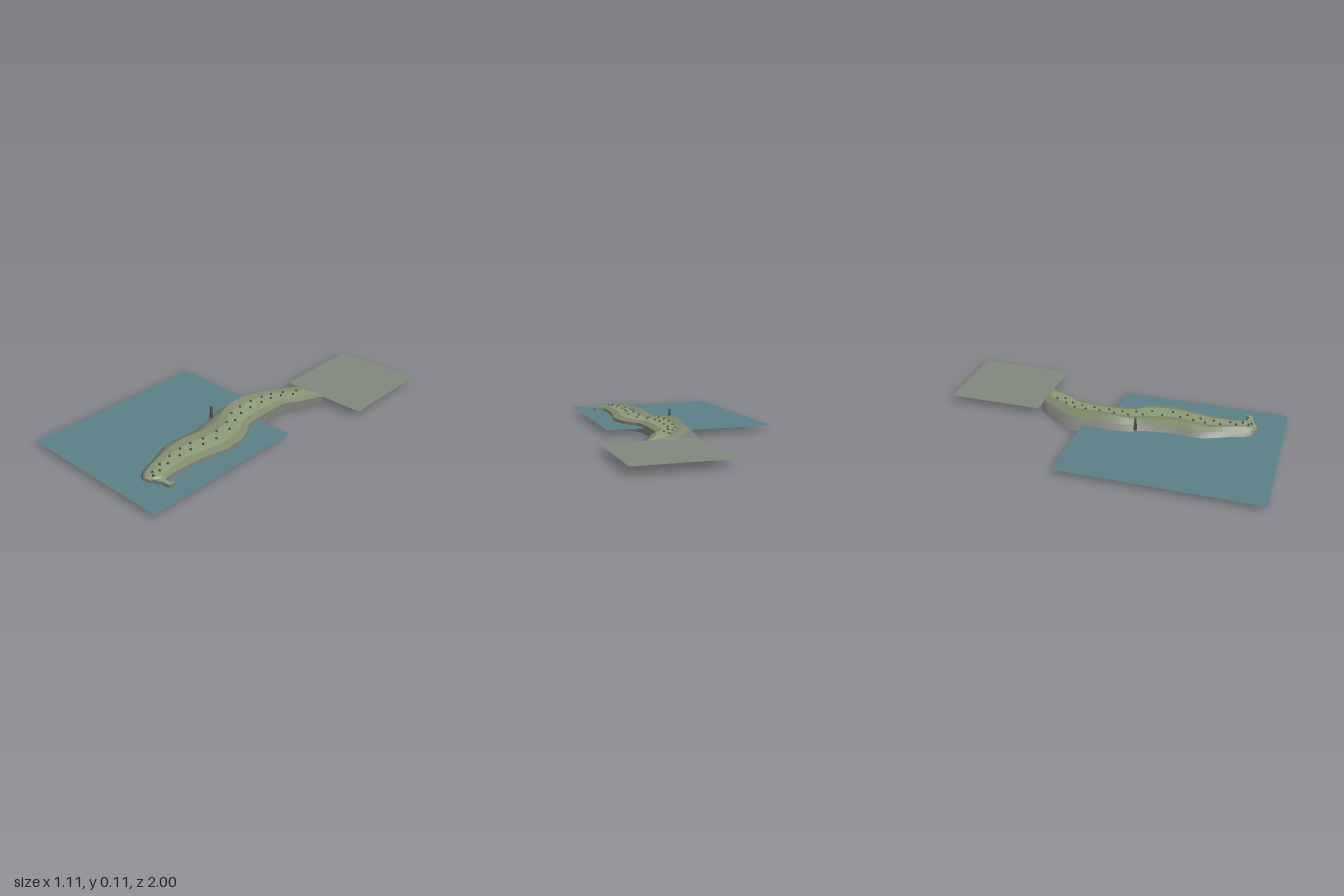
import * as THREE from 'three';

const mat = (name, color) => {
  const m = new THREE.MeshStandardMaterial({ color, side: THREE.DoubleSide });
  m.name = name;
  return m;
};

// Island stations, north to south: left shore x, z, right shore x, z, ridge height
const STATIONS = [
  [0.27, -0.44, 0.298, -0.425, 0.045], [0.11, -0.43, 0.275, -0.39, 0.057],
  [0.03, -0.33, 0.235, -0.29, 0.07], [-0.03, -0.23, 0.187, -0.215, 0.072],
  [-0.052, -0.13, 0.18, -0.12, 0.085], [-0.065, 0, 0.18, 0, 0.094],
  [-0.06, 0.12, 0.19, 0.1, 0.084], [-0.02, 0.24, 0.25, 0.2, 0.068],
  [0, 0.4, 0.275, 0.36, 0.078], [-0.01, 0.5, 0.25, 0.48, 0.08],
  [-0.003, 0.57, 0.235, 0.6, 0.072], [0.05, 0.7, 0.232, 0.72, 0.075],
  [0.1, 0.82, 0.235, 0.785, 0.07], [0.15, 0.855, 0.2, 0.84, 0.052],
];
const curve = (pick) => new THREE.CatmullRomCurve3(STATIONS.map(pick), false, 'centripetal');
const N = STATIONS.length - 1;

export function createModel() {
  const group = new THREE.Group();
  group.name = 'coastalIsland';
  const grass = mat('pale green grass', 0x8c9a78);
  const slope = mat('green slope', 0x7e8a6a);
  const rock = mat('grey rock', 0x7c7d76);
  const water = mat('sea blue', 0x5a8087);
  const field = mat('grey green ground', 0x82877c);
  const dark = mat('dark shrub', 0x3f4a3c);
  const stone = mat('dark stone', 0x4b4d49);

  const add = (name, geo, material, x = 0, y = 0, z = 0) => {
    const m = new THREE.Mesh(geo, material);
    m.name = name;
    m.position.set(x, y, z);
    group.add(m);
    return m;
  };

  const leftShore = curve(s => new THREE.Vector3(s[0], s[4], s[1]));
  const rightShore = curve(s => new THREE.Vector3(s[2], 0, s[3]));

  // Cross-section of the island at t: seven points from left foot to right foot
  const section = (t) => {
    const l = leftShore.getPoint(t), r = rightShore.getPoint(t), h = l.y;
    const at = (f, y) => new THREE.Vector3(l.x + (r.x - l.x) * f, y, l.z + (r.z - l.z) * f);
    const foot = at(0, 0);
    foot.x -= 0.045 * Math.sin(Math.PI * t);
    const shoulder = Math.min(0.056, h);
    const rim = Math.min(0.05, h);
    return [foot, at(0, 0.034), at(0.14, shoulder), at(0.28, h),
      at(0.46, Math.min(h, 0.055 + (h - 0.055) * 0.6)),
      at(0.84, Math.min(0.062, h)), at(1, rim), at(1.02, 0)];
  };
  const ROWS = 52;
  const sections = Array.from({ length: ROWS + 1 }, (_, i) => section(i / ROWS));

  // Lengthwise strip of terrain between two columns of the cross-sections
  const strip = (name, from, to, material) => {
    const pos = [], idx = [], w = to - from + 1;
    for (const s of sections) for (let j = from; j <= to; j++) pos.push(...s[j].toArray());
    for (let i = 0; i < ROWS; i++) for (let j = 0; j < w - 1; j++) {
      const a = i * w + j, b = a + w;
      idx.push(a, b, a + 1, b, b + 1, a + 1);
    }
    const g = new THREE.BufferGeometry();
    g.setAttribute('position', new THREE.Float32BufferAttribute(pos, 3));
    g.setIndex(idx);
    g.computeVertexNormals();
    add(name, g, material);
  };
  strip('leftCliff', 0, 2, rock);
  strip('leftSlope', 2, 3, slope);
  strip('ridgeSide', 3, 4, slope);
  strip('plateau', 4, 5, grass);
  strip('rightSlope', 5, 6, slope);
  strip('rightCliff', 6, 7, rock);

  // End faces
  const cap = (name, s) => {
    const pos = [];
    for (let j = 1; j < s.length - 1; j++) for (const p of [s[0], s[j], s[j + 1]]) pos.push(...p.toArray());
    const g = new THREE.BufferGeometry();
    g.setAttribute('position', new THREE.Float32BufferAttribute(pos, 3));
    g.computeVertexNormals();
    add(name, g, rock);
  };
  cap('northEnd', [...sections[0]].reverse());
  cap('southEnd', sections[ROWS]);

  // Hooked spur at the south-east corner
  const spur = new THREE.Shape([[0.19, 0.84], [0.21, 0.775], [0.235, 0.785], [0.28, 0.79], [0.288, 0.77],
    [0.298, 0.77], [0.298, 0.808], [0.25, 0.815]].map(([x, z]) => new THREE.Vector2(x, -z)));
  const spurGeo = new THREE.ExtrudeGeometry(spur, { depth: 0.055, bevelEnabled: false });
  spurGeo.rotateX(-Math.PI / 2);
  add('southSpur', spurGeo, [grass, rock]);

  // Shrubs in two staggered rows along the plateau
  const shrubGeo = new THREE.CylinderGeometry(0.005, 0.008, 0.01, 6);
  for (let i = 0; i < 30; i++) {
    const s = section((1.6 + i * 0.37) / N);
    const p = s[4].clone().lerp(s[5], i % 2 ? 0.52 : 0.08);
    add('shrub', shrubGeo, dark, p.x, p.y + 0.003, p.z);
  }

  // Watchtower on the left shore
  add('towerBody', new THREE.CylinderGeometry(0.006, 0.011, 0.07, 10), stone, -0.027, 0.068, 0.185);
  add('towerTop', new THREE.CylinderGeometry(0.007, 0.007, 0.008, 10), stone, -0.027, 0.107, 0.185);

  // Stepped sea sheet and the flat mainland sheet
  const sheet = (name, pts, y, material) => {
    const g = new THREE.ShapeGeometry(new THREE.Shape(pts.map(([x, z]) => new THREE.Vector2(x, -z))));
    g.rotateX(-Math.PI / 2);
    add(name, g, material, 0, y, 0);
  };
  sheet('sea', [[-0.555, 1], [0.4, 1], [0.4, 0.015], [0.17, 0.015], [0.17, -0.125], [-0.555, -0.125]], 0.033, water);
  sheet('mainland', [[0.03, -0.43], [0.553, -0.43], [0.553, -1], [0.03, -1]], 0.045, field);

  return group;
}
